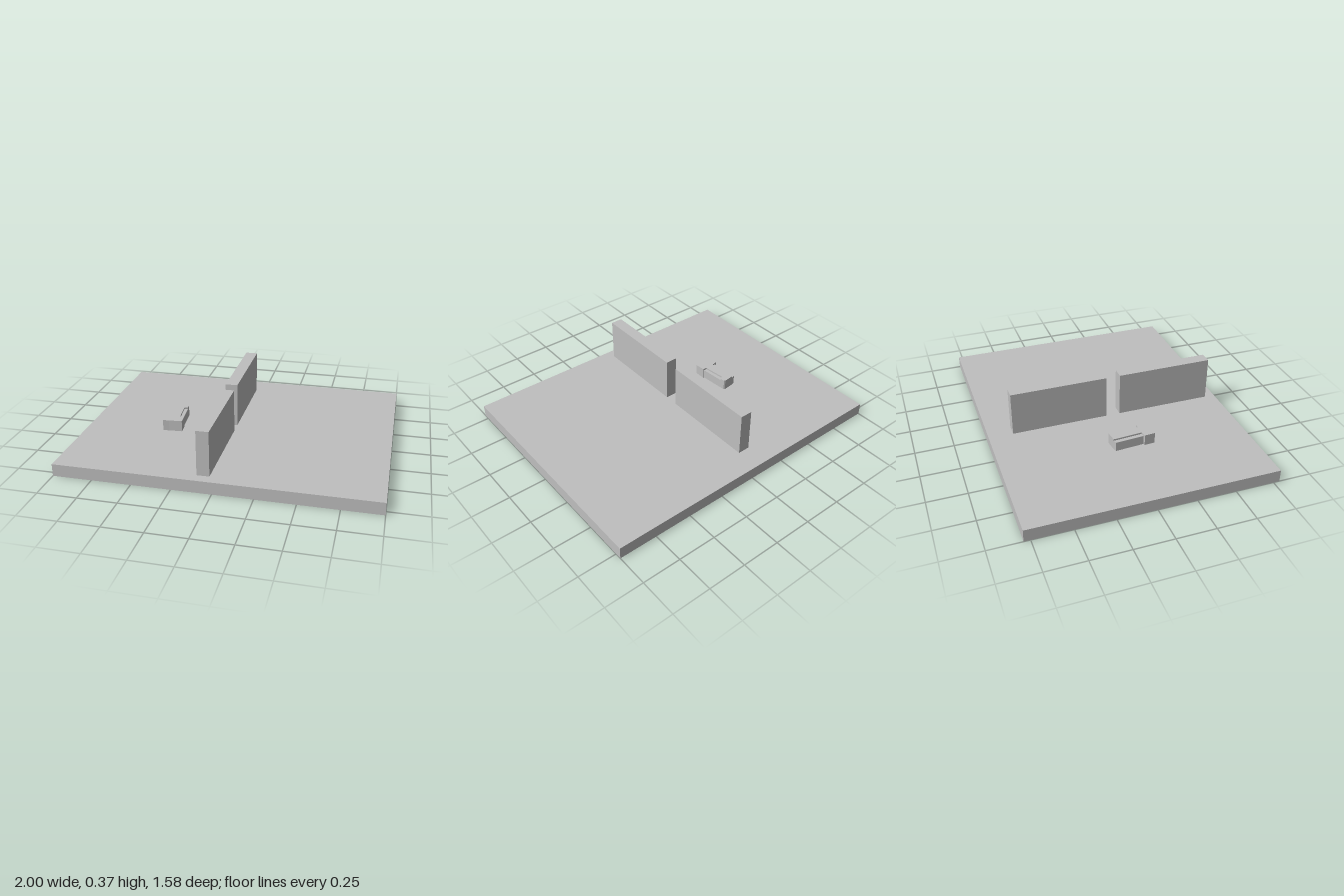
import * as THREE from 'three';

export function createModel() {
  const group = new THREE.Group();
  const grey = new THREE.MeshStandardMaterial({ color: 0xbfbfbf });
  grey.name = 'plain grey';

  const add = (name, geometry) => {
    const mesh = new THREE.Mesh(geometry, grey);
    mesh.name = name;
    group.add(mesh);
    return mesh;
  };
  const box = (name, x0, x1, y0, y1, z0, z1) =>
    add(name, new THREE.BoxGeometry(x1 - x0, y1 - y0, z1 - z0))
      .position.set((x0 + x1) / 2, (y0 + y1) / 2, (z0 + z1) / 2);

  // Upright prism over an outline of [x, z] points
  const prism = (name, outline, bottom, top) => {
    const shape = new THREE.Shape(outline.map(([x, z]) => new THREE.Vector2(x, z)));
    const geometry = new THREE.ExtrudeGeometry(shape, { depth: top - bottom, bevelEnabled: false });
    geometry.rotateX(Math.PI / 2).translate(0, top, 0);
    add(name, geometry);
  };

  // Floor slab and the two walls with a gap between them
  const floor = 0.08;
  box('floorSlab', -1, 1, 0, floor, -0.79, 0.79);
  box('backWall', -0.107, -0.028, floor, 0.37, -0.632, 0.002);
  box('frontWall', -0.107, -0.028, floor, 0.37, 0.093, 0.724);

  // Small block: wide stepped base with a narrower raised body
  const frontEnd = [[-0.369, 0.108], [-0.364, 0.177], [-0.45, 0.182], [-0.49, 0.187], [-0.495, 0.118]];
  prism('blockBase', [
    [-0.495, -0.072], [-0.47, -0.08], [-0.4, -0.088], [-0.391, -0.083],
    [-0.375, 0.108], ...frontEnd, [-0.482, 0.115],
  ], floor, 0.142);
  prism('blockBody', [
    [-0.47, -0.08], [-0.4, -0.088], [-0.391, -0.083], [-0.388, -0.05], [-0.412, -0.04],
    [-0.396, 0.108], ...frontEnd, [-0.458, 0.11],
  ], 0.142, 0.153);

  return group;
}
